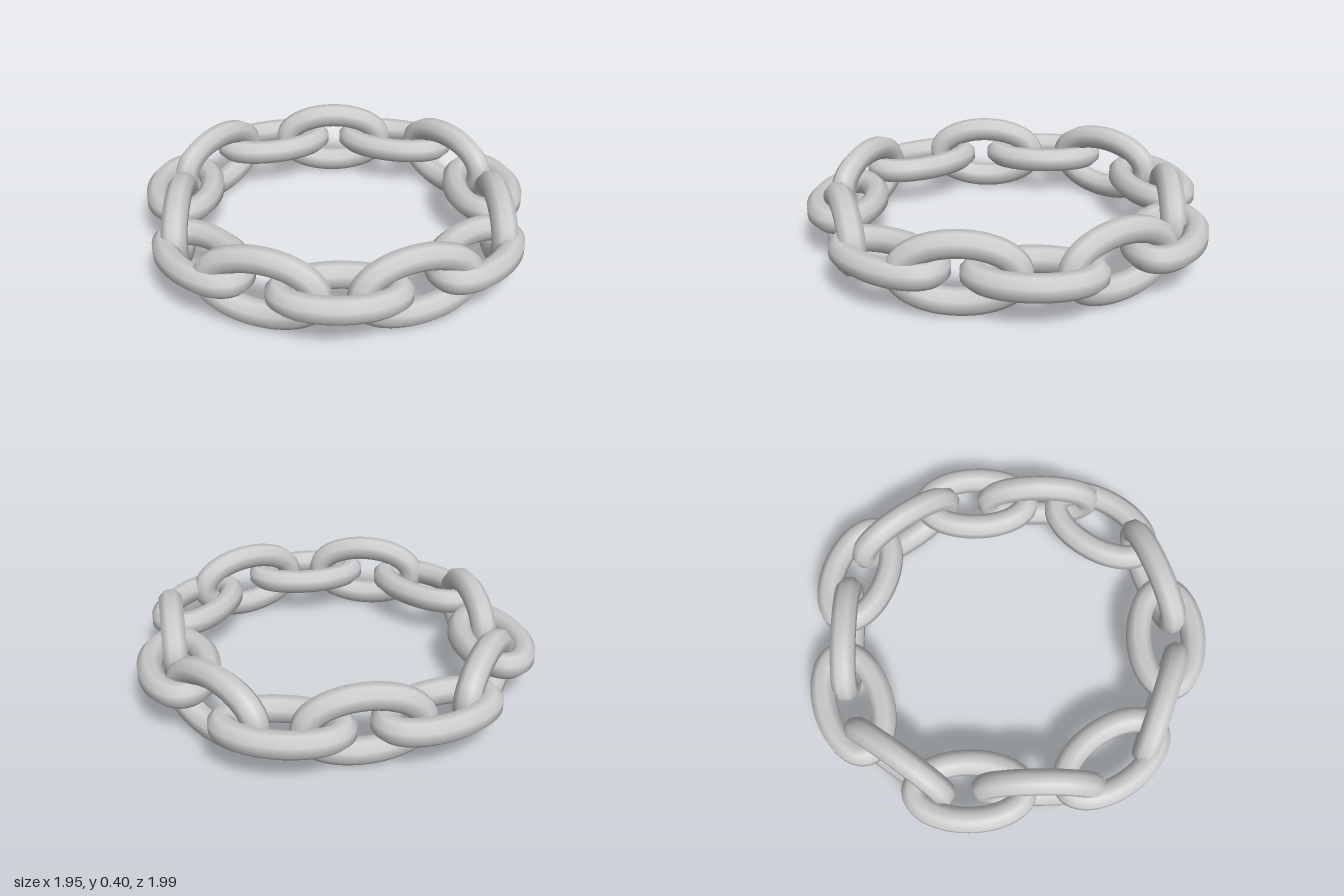
import * as THREE from 'three';

const TUBE = 0.064, SIDES = 8, STEPS = 56;
const HALF_LENGTH = 0.267, HALF_WIDTH = 0.139; // centre line of a link

// One oval link in the xy plane: a torus bent onto an ellipse, with a round wire of constant size
function linkGeometry() {
  const geo = new THREE.TorusGeometry(1, 0.3, SIDES, STEPS);
  const { position, normal, uv } = geo.attributes;
  for (let i = 0; i < position.count; i++) {
    const u = uv.getX(i) * Math.PI * 2;
    const v = (uv.getY(i) + 0.5 / SIDES) * Math.PI * 2; // half a step, so a flat side faces outward
    const out = new THREE.Vector2(Math.cos(u) * HALF_WIDTH, Math.sin(u) * HALF_LENGTH).normalize();
    const nx = out.x * Math.cos(v), ny = out.y * Math.cos(v), nz = Math.sin(v);
    position.setXYZ(i,
      HALF_LENGTH * Math.cos(u) + TUBE * nx,
      HALF_WIDTH * Math.sin(u) + TUBE * ny,
      TUBE * nz);
    normal.setXYZ(i, nx, ny, nz);
  }
  return geo;
}

// Links in order around the loop, flat and upright by turns: x, z, turn about y in degrees
const LINKS = [
  [0, 0.795, 0],
  [0.343, 0.748, 20],
  [0.642, 0.487, 55],
  [0.79, 0.158, 90],
  [0.777, -0.172, 91],
  [0.632, -0.545, -54.5],
  [0.365, -0.777, -18],
  [0.01, -0.825, 0],
  [-0.333, -0.78, 18],
  [-0.63, -0.545, 54],
  [-0.778, -0.2, 90],
  [-0.765, 0.135, 90],
  [-0.622, 0.49, -55],
  [-0.345, 0.748, -20],
];

export function createModel() {
  const chain = new THREE.Group();
  chain.name = 'chainLoop';
  const geo = linkGeometry();
  const mat = new THREE.MeshStandardMaterial({ color: 0xcccccc });
  LINKS.forEach(([x, z, turn], i) => {
    const flat = i % 2 === 0;
    const link = new THREE.Mesh(geo, mat);
    link.name = (flat ? 'flatLink' : 'uprightLink') + (i + 1);
    link.rotation.set(flat ? Math.PI / 2 : 0, THREE.MathUtils.degToRad(turn), 0, 'YXZ');
    link.position.set(x, 0.2, z);
    chain.add(link);
  });
  return chain;
}
